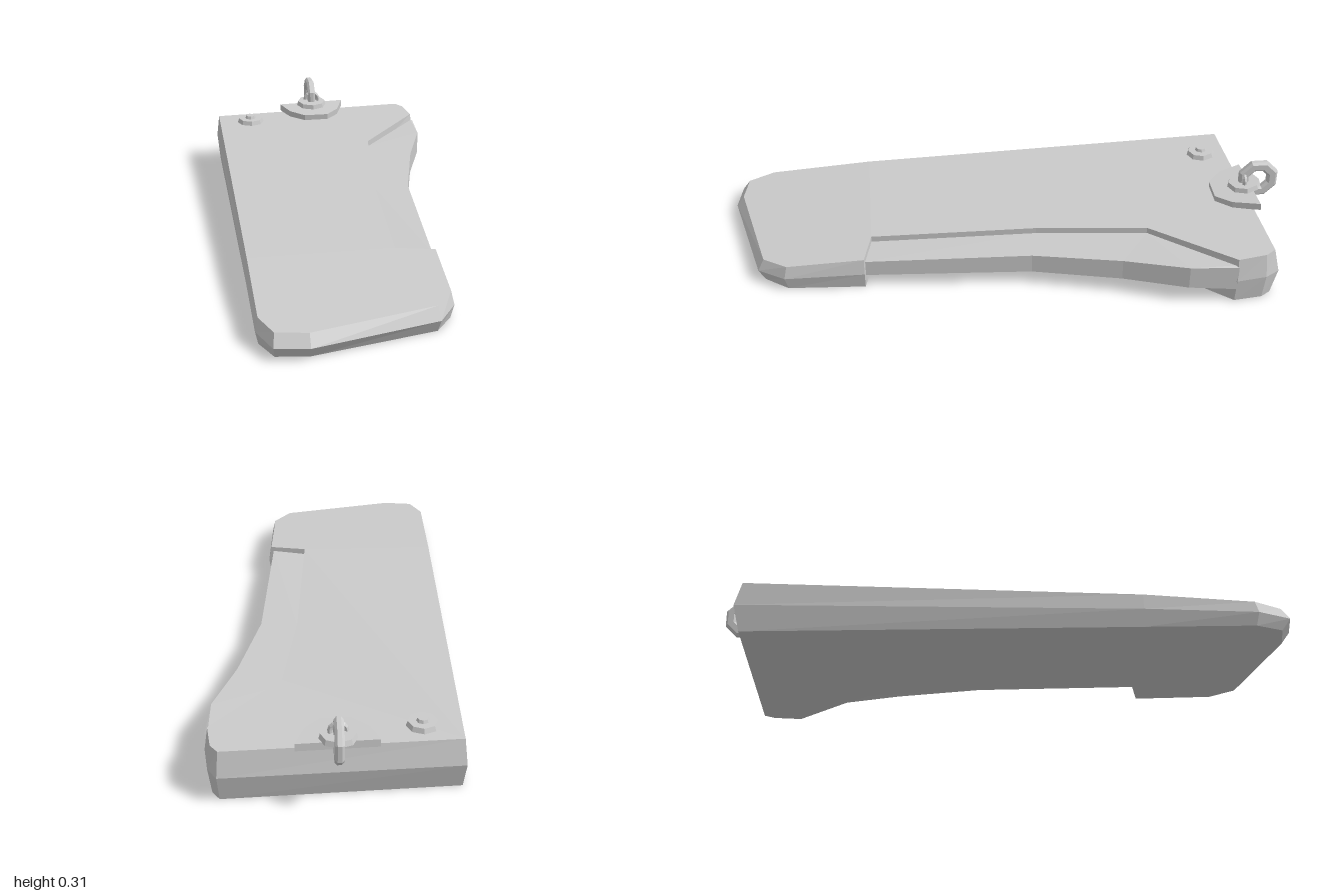
import * as THREE from 'three';

const mat = new THREE.MeshStandardMaterial({ color: 0xcccccc, flatShading: true });

function addMesh(parent, name, geo, x = 0, y = 0, z = 0) {
  const m = new THREE.Mesh(geo, mat);
  m.name = name;
  m.position.set(x, y, z);
  parent.add(m);
  return m;
}

function fromTriangles(pos) {
  const g = new THREE.BufferGeometry();
  g.setAttribute('position', new THREE.Float32BufferAttribute(pos, 3));
  g.computeVertexNormals();
  return g;
}

// Height of the sloping top surface along the slab
const SLOPE = [[1, 0.076], [0.49, 0.12], [-0.49, 0.162], [-0.9, 0.184]];
function topY(z) {
  let i = 0;
  while (i < SLOPE.length - 2 && z < SLOPE[i + 1][0]) i++;
  const [z0, y0] = SLOPE[i], [z1, y1] = SLOPE[i + 1];
  return y0 + (y1 - y0) * (z - z0) / (z1 - z0);
}

// Widest outline of the slab: x, z, inset x, inset z of its top and bottom rims
const OUTLINE = [
  [-0.392, -0.885, 0.008, 0.022], [0.385, -0.92, -0.006, 0.02],
  [0.415, -0.87, -0.012, 0.005], [0.427, -0.765, -0.012, 0],
  [0.18, -0.49, 0, 0], [0.12, -0.1, 0, 0], [0.08, 0.49, 0, 0],
  [0.222, 0.518, -0.01, 0], [0.205, 0.8, -0.01, -0.01], [0.14, 0.895, -0.006, -0.022],
  [-0.28, 0.997, 0, -0.028], [-0.39, 0.98, 0.006, -0.028],
  [-0.432, 0.87, 0.01, -0.01], [-0.423, 0.49, 0.009, 0],
];

function slabGeometry() {
  const n = OUTLINE.length, pos = [];
  const inset = OUTLINE.map(([x, z, dx, dz]) => [x + dx, z + dz]);
  const bottom = inset.map(([x, z]) => [x, 0, z]);
  const middle = OUTLINE.map(([x, z]) => [x, topY(z) * 0.52, z]);
  const top = inset.map(([x, z]) => [x, topY(z), z]);

  // Two bands of side faces meeting at the widest outline
  for (const [lo, hi] of [[bottom, middle], [middle, top]]) {
    for (let i = 0; i < n; i++) {
      const j = (i + 1) % n;
      pos.push(...lo[i], ...hi[i], ...lo[j], ...lo[j], ...hi[i], ...hi[j]);
    }
  }

  // Top and bottom, split where the slope bends
  const parts = [[0, 1, 2, 3, 4, 5, 6, 13], [6, 7, 8, 9, 10, 11, 12, 13]];
  for (const part of parts) {
    const flat = part.map(i => new THREE.Vector2(...inset[i]));
    for (const tri of THREE.ShapeUtils.triangulateShape(flat, [])) {
      let [a, b, c] = tri.map(i => part[i]);
      const [p, q, r] = [inset[a], inset[b], inset[c]];
      const turn = (q[0] - p[0]) * (r[1] - p[1]) - (q[1] - p[1]) * (r[0] - p[0]);
      if (turn > 0) [b, c] = [c, b];
      pos.push(...top[a], ...top[b], ...top[c], ...bottom[a], ...bottom[c], ...bottom[b]);
    }
  }
  return fromTriangles(pos);
}

// Thin grip rail filling the cut-out: inner x, z, outer x, z, then heights
// of the outer top, outer bottom and inner bottom edges
const RAIL = [
  [0.08, 0.49, 0.203, 0.514, 0.102, 0.044, 0.022],
  [0.12, -0.1, 0.25, -0.07, 0.122, 0.052, 0.036],
  [0.15, -0.295, 0.33, -0.38, 0.136, 0.059, 0.044],
  [0.18, -0.49, 0.41, -0.6, 0.149, 0.065, 0.052],
  [0.415, -0.755, 0.425, -0.767, 0.15, 0.057, 0.055],
];

function railGeometry() {
  const sections = RAIL.map(([ix, iz, ox, oz, oTop, oBottom, iBottom]) => [
    [ix, topY(iz) - 0.022, iz], [ox, oTop, oz], [ox, oBottom, oz], [ix, iBottom, iz],
  ]);
  const pos = [];
  for (let s = 0; s < sections.length - 1; s++) {
    const a = sections[s], b = sections[s + 1];
    for (let k = 0; k < 4; k++) {
      const l = (k + 1) % 4;
      pos.push(...a[k], ...a[l], ...b[k], ...a[l], ...b[l], ...b[k]);
    }
  }
  return fromTriangles(pos);
}

function octagon(PathType, r) {
  const pts = [];
  for (let i = 0; i < 8; i++) {
    const t = (i + 0.5) * Math.PI / 4;
    pts.push(new THREE.Vector2(r * Math.cos(t), r * Math.sin(t)));
  }
  return new PathType(pts);
}

export function createModel() {
  const group = new THREE.Group();
  group.name = 'handleSlab';
  addMesh(group, 'slab', slabGeometry());
  addMesh(group, 'gripRail', railGeometry());

  // Screw on the top surface
  const screw = new THREE.Group();
  screw.name = 'screw';
  screw.position.set(-0.26, topY(-0.78), -0.78);
  screw.rotation.x = 0.05;
  addMesh(screw, 'screwWasher', new THREE.CylinderGeometry(0.048, 0.056, 0.024, 8), 0, 0.005, 0);
  addMesh(screw, 'screwHead', new THREE.CylinderGeometry(0.018, 0.022, 0.012, 8), 0, 0.022, 0);
  group.add(screw);

  // Ring mount: half-octagon plate, boss, eyelet
  const mount = new THREE.Group();
  mount.name = 'ringMount';
  mount.position.set(0.01, 0.184, -0.89);
  mount.rotation.x = 0.09;
  const plate = new THREE.Shape([
    [-0.13, 0.005], [-0.1, -0.075], [-0.045, -0.128], [0.05, -0.128], [0.1, -0.075], [0.134, 0.02],
  ].map(p => new THREE.Vector2(...p)));
  const plateGeo = new THREE.ExtrudeGeometry(plate, { depth: 0.026, bevelEnabled: false });
  plateGeo.rotateX(-Math.PI / 2);
  addMesh(mount, 'mountPlate', plateGeo);
  addMesh(mount, 'mountBoss', new THREE.CylinderGeometry(0.056, 0.061, 0.018, 8), 0, 0.034, 0.01);
  const eyelet = addMesh(mount, 'eyelet', new THREE.TorusGeometry(0.025, 0.009, 5, 8, Math.PI * 1.1), 0, 0.052, 0.012);
  eyelet.rotation.z = -0.3;
  group.add(mount);

  // Upright octagonal ring passing through the eyelet
  const ring = octagon(THREE.Shape, 0.076);
  ring.holes.push(octagon(THREE.Path, 0.036));
  const ringGeo = new THREE.ExtrudeGeometry(ring, {
    depth: 0.014, bevelEnabled: true, bevelThickness: 0.008, bevelSize: 0.008, bevelOffset: -0.008, bevelSegments: 1,
  });
  ringGeo.translate(0, 0, -0.007);
  ringGeo.rotateY(Math.PI / 2);
  addMesh(group, 'hangingRing', ringGeo, 0.01, 0.235, -0.927);

  return group;
}
